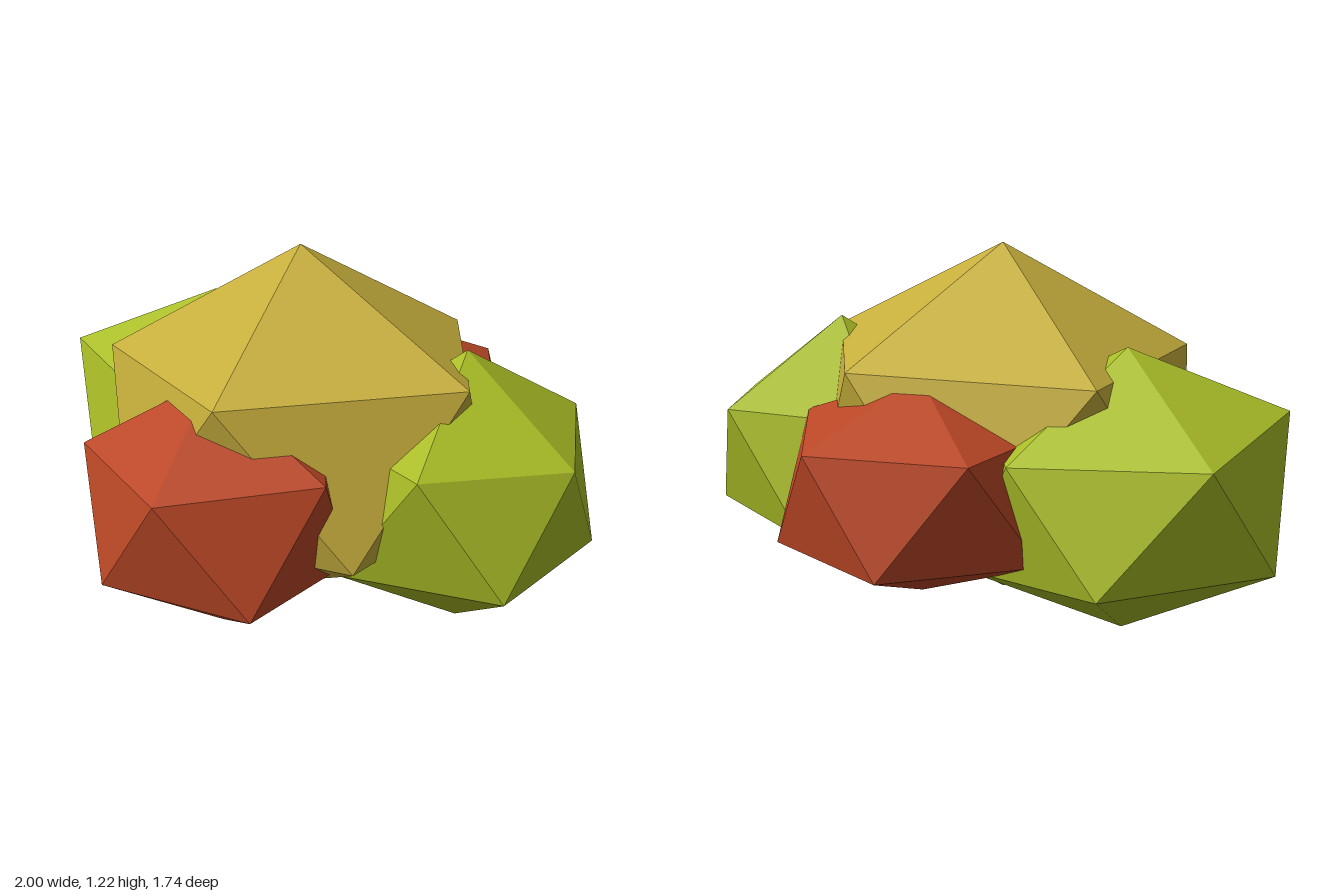
import * as THREE from 'three';
import { ConvexGeometry } from 'three/addons/geometries/ConvexGeometry.js';

const mat = (name, color) => {
  const m = new THREE.MeshStandardMaterial({ color });
  m.name = name;
  return m;
};

// Twenty-sided clump: a pole and five upper ring corners given from the centre;
// the lower half is their reflection through the centre.
function clump(name, material, center, corners) {
  const points = corners.flatMap(([x, y, z]) => [
    new THREE.Vector3(x, y, z),
    new THREE.Vector3(-x, -y, -z),
  ]);
  const mesh = new THREE.Mesh(new ConvexGeometry(points), material);
  mesh.name = name;
  mesh.position.set(...center);
  return mesh;
}

export function createModel() {
  const model = new THREE.Group();
  model.name = 'foliageCluster';
  const yellow = mat('mustard leaves', 0xc6ae3c);
  const green = mat('lime leaves', 0xa9bc26);
  const red = mat('rust leaves', 0xba4726);

  model.add(
    // large middle clump
    clump('centreClump', yellow, [0.035, 0.615, 0.01], [
      [0, 0.608, 0], [0.68, 0.27, 0], [0.205, 0.255, 0.61],
      [-0.505, 0.25, 0.38], [-0.545, 0.25, -0.37], [0.205, 0.26, -0.6],
    ]),
    // side clumps
    clump('leftClump', green, [0.592, 0.485, -0.147], [
      [0, 0.465, 0], [0.406, 0.17, 0], [0.143, 0.195, 0.432],
      [-0.342, 0.175, 0.263], [-0.363, 0.185, -0.277], [0.148, 0.205, -0.433],
    ]),
    clump('rightClump', green, [-0.49, 0.485, -0.118], [
      [0, 0.465, 0], [0.51, 0.185, 0], [0.14, 0.185, 0.462],
      [-0.43, 0.255, 0.288], [-0.41, 0.2, -0.282], [0.16, 0.175, -0.463],
    ]),
    // front and back clumps
    clump('frontClump', red, [0.09, 0.48, 0.46], [
      [-0.02, 0.41, 0], [0.45, 0.19, 0], [0.15, 0.17, 0.405],
      [-0.335, 0.19, 0.25], [-0.38, 0.18, -0.25], [0.09, 0.16, -0.407],
    ]),
    clump('backClump', red, [0.055, 0.51, -0.46], [
      [0, 0.355, 0], [0.44, 0.19, 0], [0.115, 0.17, 0.41],
      [-0.375, 0.18, 0.26], [-0.345, 0.18, -0.26], [0.135, 0.18, -0.41],
    ]),
  );
  return model;
}
